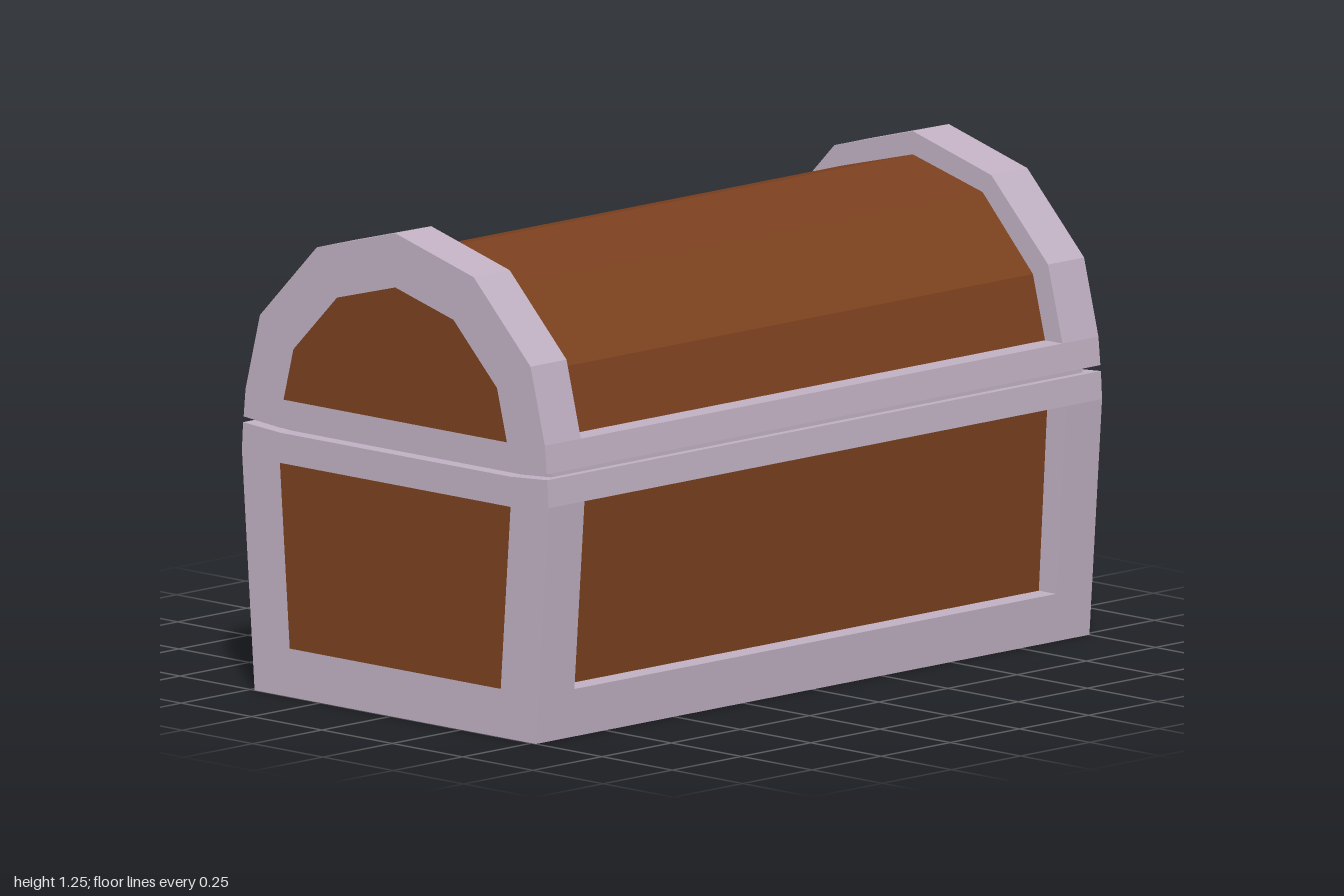
import * as THREE from 'three';

const frameMat = new THREE.MeshStandardMaterial({ color: 0xc0b0c2, flatShading: true });
const woodMat = new THREE.MeshStandardMaterial({ color: 0x7a401e, flatShading: true });
const lockMat = new THREE.MeshStandardMaterial({ color: 0xd0cb14, flatShading: true });

const CENTER_Z = 0.015; // the body sits slightly forward, balancing the lock
const HALF = 1, INNER = 0.87, PANEL = 0.94;

const toPoints = (list) => list.map(([z, y]) => new THREE.Vector2(-z, y));

// Completes a right-half profile (bottom to top) with its mirror image
const mirrored = (half) => [
  ...half,
  ...half.filter(([z]) => z !== 0).reverse().map(([z, y]) => [-z, y]),
];

// Extrudes a (z, y) section along x from x0 to x1
function extrudeX(name, section, x0, x1, material, hole) {
  const shape = new THREE.Shape(toPoints(section));
  if (hole) shape.holes.push(new THREE.Path(toPoints(hole)));
  const geo = new THREE.ExtrudeGeometry(shape, { depth: x1 - x0, bevelEnabled: false });
  geo.rotateY(Math.PI / 2).translate(x0, 0, CENTER_Z);
  const mesh = new THREE.Mesh(geo, material);
  mesh.name = name;
  return mesh;
}

// A pair of end frames, each with an opening
function addEndFrames(group, name, section, hole) {
  group.add(extrudeX(name + 'Left', section, INNER, HALF, frameMat, hole));
  group.add(extrudeX(name + 'Right', section, -HALF, -INNER, frameMat, hole));
}

// Front and back rails between the end frames
function addRails(group, name, section) {
  group.add(extrudeX(name + 'Front', section, -INNER, INNER, frameMat));
  const back = section.map(([z, y]) => [-z, y]);
  group.add(extrudeX(name + 'Back', back, -INNER, INNER, frameMat));
}

function createBase() {
  const base = new THREE.Group();
  base.name = 'base';
  addEndFrames(
    base, 'baseEndFrame',
    mirrored([[0.5, 0], [0.545, 0.615], [0.541, 0.687], [0.41, 0.678]]),
    mirrored([[0.375, 0.125], [0.41, 0.6]]),
  );
  addRails(base, 'bottomRail', [[0.5, 0], [0.509, 0.125], [0.38, 0.125], [0.38, 0]]);
  addRails(base, 'topRail', [[0.545, 0.615], [0.541, 0.687], [0.41, 0.678], [0.41, 0.615]]);
  // Recessed wooden box
  base.add(extrudeX('basePanels', mirrored([[0.444, 0.06], [0.482, 0.67]]), -PANEL, PANEL, woodMat));
  return base;
}

function createLid() {
  const lid = new THREE.Group();
  lid.name = 'lid';
  addEndFrames(
    lid, 'lidEndArch',
    mirrored([[0.41, 0.691], [0.539, 0.702], [0.532, 0.775], [0.481, 0.972], [0.279, 1.175], [0, 1.25]]),
    mirrored([[0.397, 0.765], [0.362, 0.9], [0.207, 1.055], [0, 1.11]]),
  );
  addRails(lid, 'lidRail', [[0.539, 0.702], [0.532, 0.775], [0.41, 0.775], [0.41, 0.691]]);
  // Faceted wooden barrel top
  lid.add(extrudeX(
    'lidPanels',
    mirrored([[0.478, 0.71], [0.47, 0.775], [0.427, 0.94], [0.248, 1.127], [0, 1.19]]),
    -PANEL, PANEL, woodMat,
  ));
  return lid;
}

export function createModel() {
  const chest = new THREE.Group();
  chest.name = 'chest';
  chest.add(createBase(), createLid());

  // Recessed strip closing the seam between base and lid
  const seam = new THREE.Mesh(new THREE.BoxGeometry(1.92, 0.06, 1.03), frameMat);
  seam.name = 'seam';
  seam.position.set(0, 0.693, CENTER_Z);
  chest.add(seam);

  // Lock plate
  const lock = new THREE.Mesh(new THREE.BoxGeometry(0.21, 0.143, 0.045), lockMat);
  lock.name = 'lock';
  lock.position.set(0, 0.693, -0.536);
  chest.add(lock);
  return chest;
}
